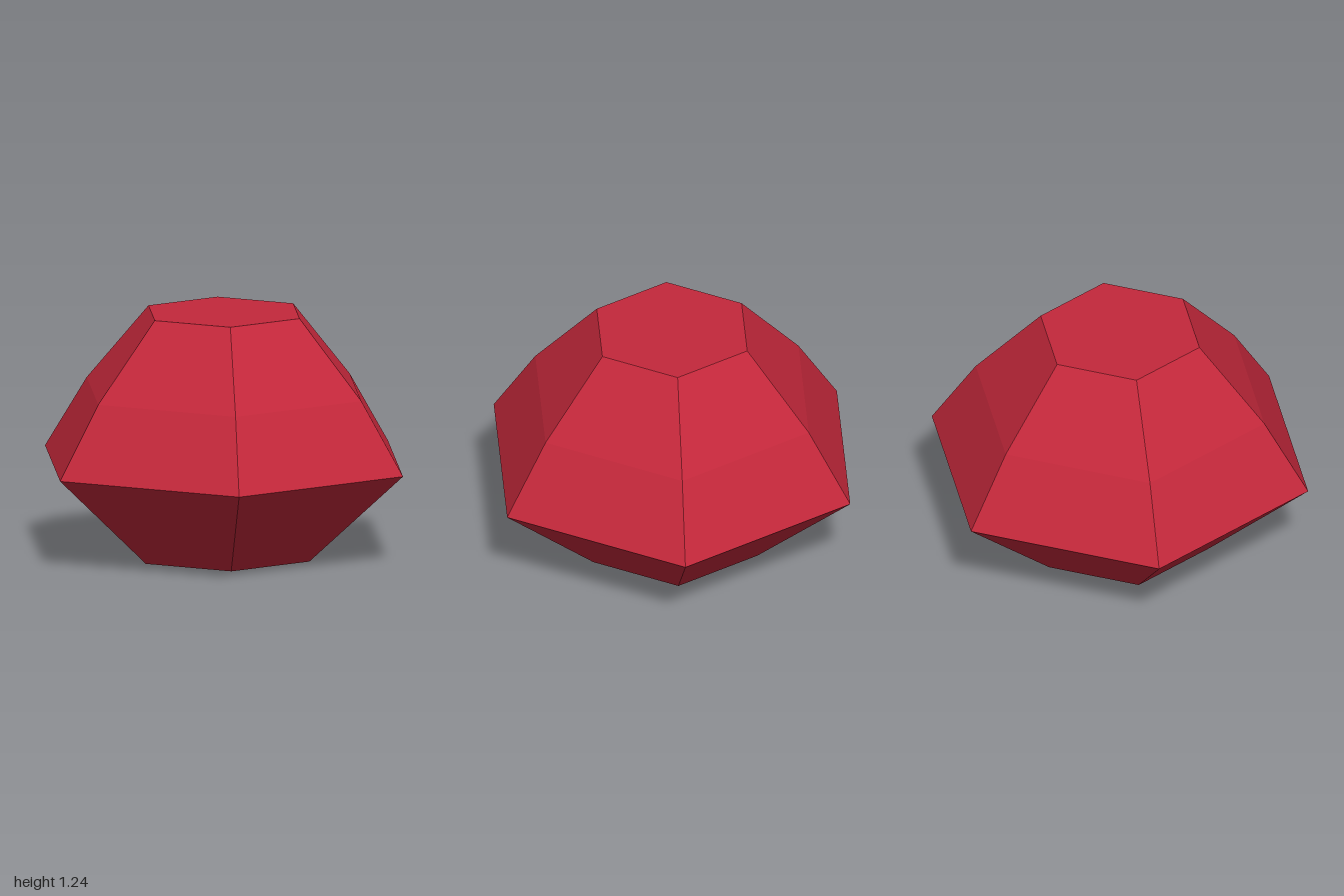
import * as THREE from 'three';

export function createModel() {
  const model = new THREE.Group();
  model.name = 'gem';

  const red = new THREE.MeshStandardMaterial({ color: 0xc4283b, flatShading: true });
  red.name = 'ruby red';

  // Radius and height of each ring of facets, from the base to the table
  const profile = [
    [0, 0], [0.477, 0], [1, 0.477], [0.767, 0.845], [0.422, 1.24], [0, 1.24],
  ].map(([r, y]) => new THREE.Vector2(r, y));

  // Six-sided cut stone, turned slightly about its axis
  const turn = THREE.MathUtils.degToRad(1.5);
  const stone = new THREE.Mesh(new THREE.LatheGeometry(profile, 6, turn), red);
  stone.name = 'cutStone';
  model.add(stone);

  return model;
}
